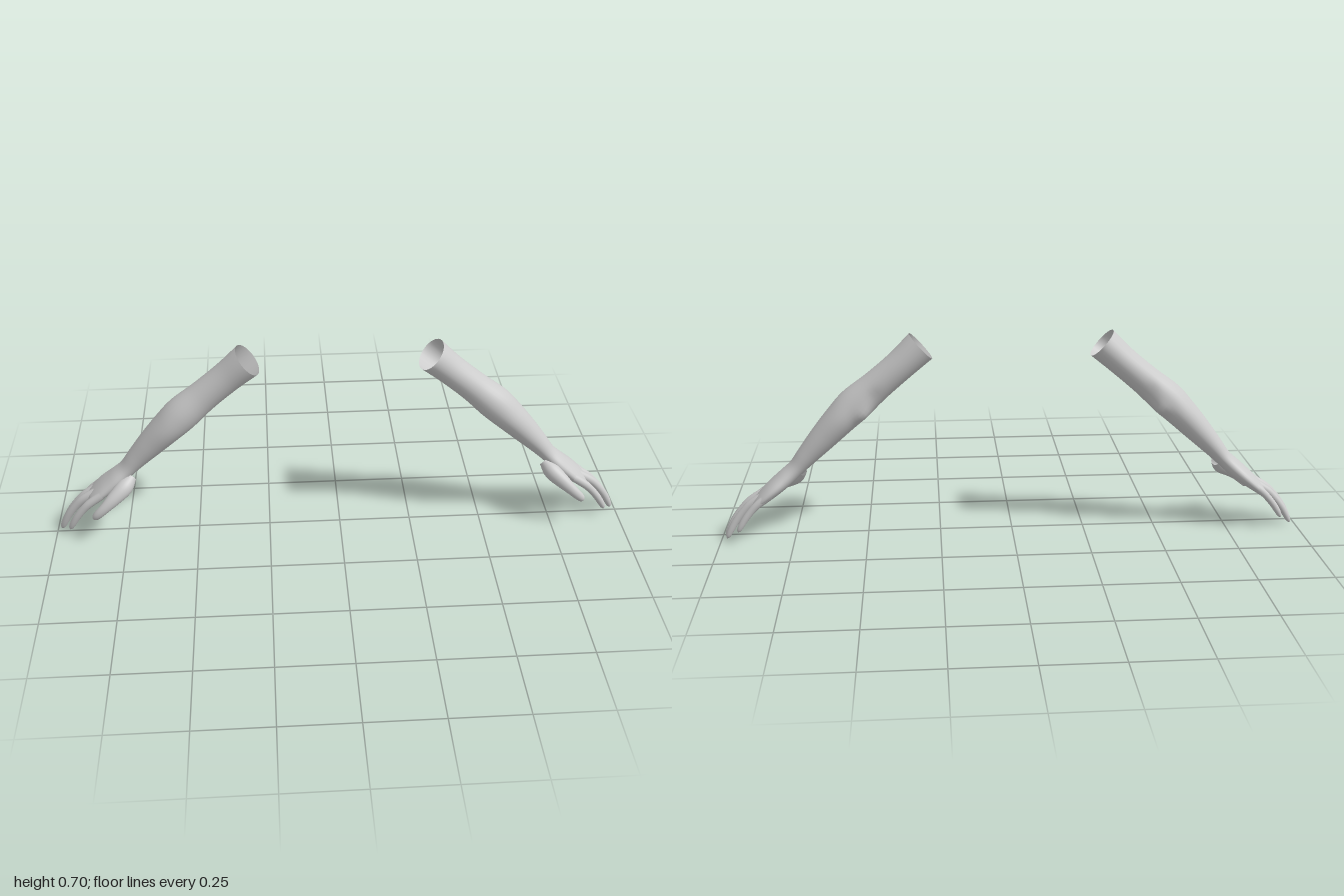
import * as THREE from 'three';

const SIDES = 28;
const Z = new THREE.Vector3(0, 0, 1);

// Smooth skin over stations [x, y, z, half thickness, half width], closed at the far end.
// side = 1 builds the left limb, side = -1 its mirror image.
function loft(stations, side, stepsPerSpan, deform) {
  const path = new THREE.CatmullRomCurve3(stations.map(s => new THREE.Vector3(s[0], s[1], s[2])));
  const size = new THREE.CatmullRomCurve3(stations.map(s => new THREE.Vector3(s[3], s[4], 0)));
  path.curveType = size.curveType = 'catmullrom';
  const steps = (stations.length - 1) * stepsPerSpan;
  const pos = [], index = [];
  for (let i = 0; i <= steps; i++) {
    const c = path.getPoint(i / steps), r = size.getPoint(i / steps);
    const T = path.getTangent(i / steps);
    const N = new THREE.Vector3().crossVectors(Z, T).normalize();
    const B = new THREE.Vector3().crossVectors(T, N);
    for (let j = 0; j < SIDES; j++) {
      const a = j / SIDES * Math.PI * 2;
      const p = c.clone().addScaledVector(N, r.x * Math.cos(a)).addScaledVector(B, r.y * Math.sin(a));
      if (deform) deform(p);
      pos.push(p.x * side, p.y, p.z);
    }
  }
  const tri = (a, b, c) => side > 0 ? index.push(a, b, c) : index.push(a, c, b);
  for (let i = 0; i < steps; i++) {
    for (let j = 0; j < SIDES; j++) {
      const a = i * SIDES + j, b = i * SIDES + (j + 1) % SIDES;
      tri(a, b, a + SIDES);
      tri(b, b + SIDES, a + SIDES);
    }
  }
  const end = path.getPoint(1);
  pos.push(end.x * side, end.y, end.z);
  for (let j = 0; j < SIDES; j++) {
    tri(steps * SIDES + j, steps * SIDES + (j + 1) % SIDES, pos.length / 3 - 1);
  }
  const g = new THREE.BufferGeometry();
  g.setAttribute('position', new THREE.Float32BufferAttribute(pos, 3));
  g.setIndex(index);
  g.computeVertexNormals();
  return g;
}

// Upper arm, elbow, forearm, wrist and palm as one skin
const ARM = [
  [0.305, 0.663, -0.004, 0.057, 0.068],
  [0.375, 0.600, -0.010, 0.052, 0.060],
  [0.457, 0.530, -0.011, 0.053, 0.057],
  [0.530, 0.467, -0.009, 0.059, 0.064],
  [0.583, 0.415, -0.011, 0.054, 0.066],
  [0.642, 0.353, -0.014, 0.046, 0.056],
  [0.697, 0.293, -0.016, 0.036, 0.046],
  [0.735, 0.250, -0.016, 0.029, 0.043],
  [0.775, 0.213, -0.016, 0.029, 0.054],
  [0.820, 0.176, -0.021, 0.026, 0.065],
  [0.860, 0.142, -0.020, 0.020, 0.064],
  [0.878, 0.124, -0.014, 0.012, 0.050],
  [0.886, 0.115, -0.012, 0.003, 0.030]
];

const THUMB = [
  [0.720, 0.228, 0.008, 0.018, 0.018],
  [0.745, 0.202, 0.034, 0.029, 0.028],
  [0.780, 0.175, 0.060, 0.025, 0.023],
  [0.810, 0.150, 0.076, 0.019, 0.016],
  [0.835, 0.127, 0.080, 0.016, 0.014],
  [0.850, 0.111, 0.078, 0.012, 0.011],
  [0.857, 0.104, 0.077, 0.003, 0.003]
];

// Fingers: knuckle, middle joint, tip, radius
const FINGERS = {
  indexFinger: [[0.825, 0.170, 0.030], [0.897, 0.112, 0.032], [0.950, 0.029, 0.027], 0.0125],
  middleFinger: [[0.835, 0.168, -0.006], [0.925, 0.104, -0.010], [0.986, 0.003, -0.018], 0.0135],
  ringFinger: [[0.835, 0.166, -0.042], [0.920, 0.104, -0.043], [0.980, 0.010, -0.051], 0.0125],
  littleFinger: [[0.820, 0.172, -0.070], [0.888, 0.117, -0.076], [0.937, 0.044, -0.083], 0.0115]
};

function fingerStations([base, mid, tip, r]) {
  const b = new THREE.Vector3(...base), m = new THREE.Vector3(...mid), t = new THREE.Vector3(...tip);
  const control = m.clone().multiplyScalar(2).addScaledVector(b, -0.5).addScaledVector(t, -0.5);
  const curve = new THREE.QuadraticBezierCurve3(b, control, t);
  return [[0, 1.15], [0.3, 1.1], [0.5, 1], [0.7, 0.95], [0.86, 0.85], [0.96, 0.6], [1, 0.15]].map(([u, k]) => {
    const p = curve.getPoint(u);
    return [p.x, p.y, p.z, r * k * 1.05, r * k];
  });
}

// Bony point at the back of the elbow, with a slight hollow above it
function elbowBump(p) {
  const push = (x, y, z, radius, amount) => {
    const d2 = (p.x - x) ** 2 + (p.y - y) ** 2 + (p.z - z) ** 2;
    const k = amount * Math.exp(-d2 / (radius * radius));
    p.x -= k * 0.4;
    p.y -= k * 0.4;
    p.z -= k * 0.8;
  };
  push(0.50, 0.440, -0.060, 0.028, 0.011);
  push(0.47, 0.510, -0.065, 0.025, -0.005);
}

export function createModel() {
  const model = new THREE.Group();
  model.name = 'pairOfArms';
  const skin = new THREE.MeshStandardMaterial({ color: 0xcccccc, side: THREE.DoubleSide });

  for (const [name, side] of [['leftArm', 1], ['rightArm', -1]]) {
    const arm = new THREE.Group();
    arm.name = name;
    const add = (part, geometry) => {
      const mesh = new THREE.Mesh(geometry, skin);
      mesh.name = part;
      arm.add(mesh);
    };
    add('armAndPalm', loft(ARM, side, 6, elbowBump));
    add('thumb', loft(THUMB, side, 4));
    for (const [part, finger] of Object.entries(FINGERS)) {
      add(part, loft(fingerStations(finger), side, 4));
    }
    model.add(arm);
  }
  return model;
}
